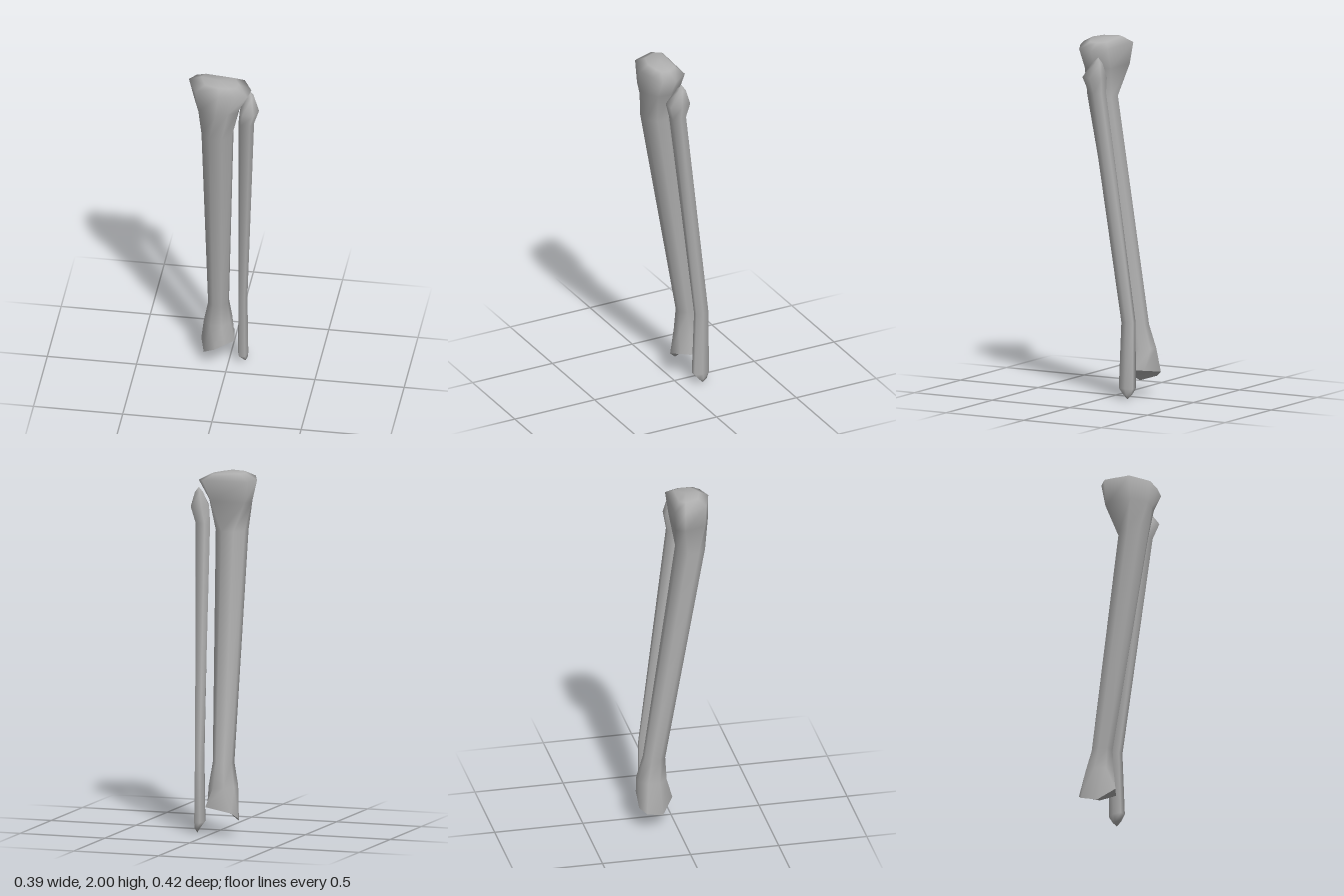
import * as THREE from 'three';
import { mergeVertices } from 'three/addons/utils/BufferGeometryUtils.js';

// Skin a list of rings (top to bottom, each clockwise seen from above) with smooth normals
function loft(rings) {
  const n = rings[0].length, index = [];
  for (let i = 0; i < rings.length - 1; i++) {
    for (let j = 0; j < n; j++) {
      const a = i * n + j, b = i * n + (j + 1) % n;
      index.push(a, b, b + n, a, b + n, a + n);
    }
  }
  const geo = new THREE.BufferGeometry();
  geo.setAttribute('position', new THREE.Float32BufferAttribute(rings.flat(2), 3));
  geo.setIndex(index);
  const merged = mergeVertices(geo, 1e-5);
  merged.computeVertexNormals();
  return merged;
}

// Regular ring fitted to the box x0..x1, z0..z1 at height y
function ring(n, y, x0, x1, z0, z1) {
  const k = 1 / Math.cos(Math.PI / n);
  return Array.from({ length: n }, (_, j) => {
    const t = -Math.PI / 2 + (j - 0.5) * 2 * Math.PI / n;
    const fit = (c) => Math.max(-1, Math.min(1, c * k));
    return [(x0 + x1) / 2 + fit(Math.cos(t)) * (x1 - x0) / 2, y,
      (z0 + z1) / 2 + fit(Math.sin(t)) * (z1 - z0) / 2];
  });
}

const point = (n, x, y, z) => Array.from({ length: n }, () => [x, y, z]);

export function createModel() {
  const group = new THREE.Group();
  const bone = new THREE.MeshStandardMaterial({ color: 0xb0b0b0 });
  bone.name = 'boneGrey';
  const add = (name, geo) => {
    const mesh = new THREE.Mesh(geo, bone);
    mesh.name = name;
    group.add(mesh);
  };

  // Shin bone: wide plateau, tapering shaft, flared ankle end
  const plateau = [
    [-0.165, 1.96, -0.015], [0.105, 1.955, -0.01], [0.155, 1.945, 0.07], [0.145, 1.95, 0.15],
    [0.08, 1.965, 0.18], [-0.01, 1.97, 0.21], [-0.145, 1.97, 0.17], [-0.2, 1.965, 0.04],
  ];
  const centre = [-0.02, 2, 0.08];
  const crown = plateau.map(([x, , z]) => [
    centre[0] + (x - centre[0]) * 0.6, 1.998 - Math.max(0, x) * 0.1, centre[2] + (z - centre[2]) * 0.6]);
  const neck = plateau.map(([x, , z]) => [-0.035 + (x + 0.02) * 0.74, 1.84, 0.1 + (z - 0.098) * 0.93]);
  const ankle = [
    [-0.135, 0.13, -0.21], [0.02, 0.155, -0.195], [0.028, 0.155, -0.14], [0.035, 0.155, -0.085],
    [-0.015, 0.148, -0.045], [-0.06, 0.14, -0.005], [-0.135, 0.07, -0.075], [-0.163, 0.1, -0.17],
  ];
  add('shinBone', loft([
    point(8, ...centre), crown, plateau, neck,
    ring(8, 1.67, -0.115, 0.055, 0.025, 0.18),
    ring(8, 0.4, -0.112, -0.002, -0.167, -0.05),
    ring(8, 0.27, -0.137, 0.013, -0.205, -0.045),
    ankle,
  ]));
  // Slightly hollow joint surface under the shin bone
  add('ankleJointSurface', loft([ankle, point(8, -0.055, 0.15, -0.12)]));

  // Calf bone: pointed head, thin shaft, pointed lower end
  add('calfBone', loft([
    point(6, 0.14, 1.912, 0.03),
    ring(6, 1.88, 0.117, 0.165, 0.01, 0.06),
    ring(6, 1.8, 0.088, 0.195, -0.008, 0.113),
    ring(6, 1.71, 0.079, 0.166, 0.005, 0.085),
    ring(6, 0.43, 0.052, 0.102, -0.165, -0.09),
    ring(6, 0.06, 0.05, 0.108, -0.166, -0.076),
    ring(6, 0.025, 0.075, 0.103, -0.152, -0.105),
    point(6, 0.09, 0, -0.13),
  ]));
  return group;
}
